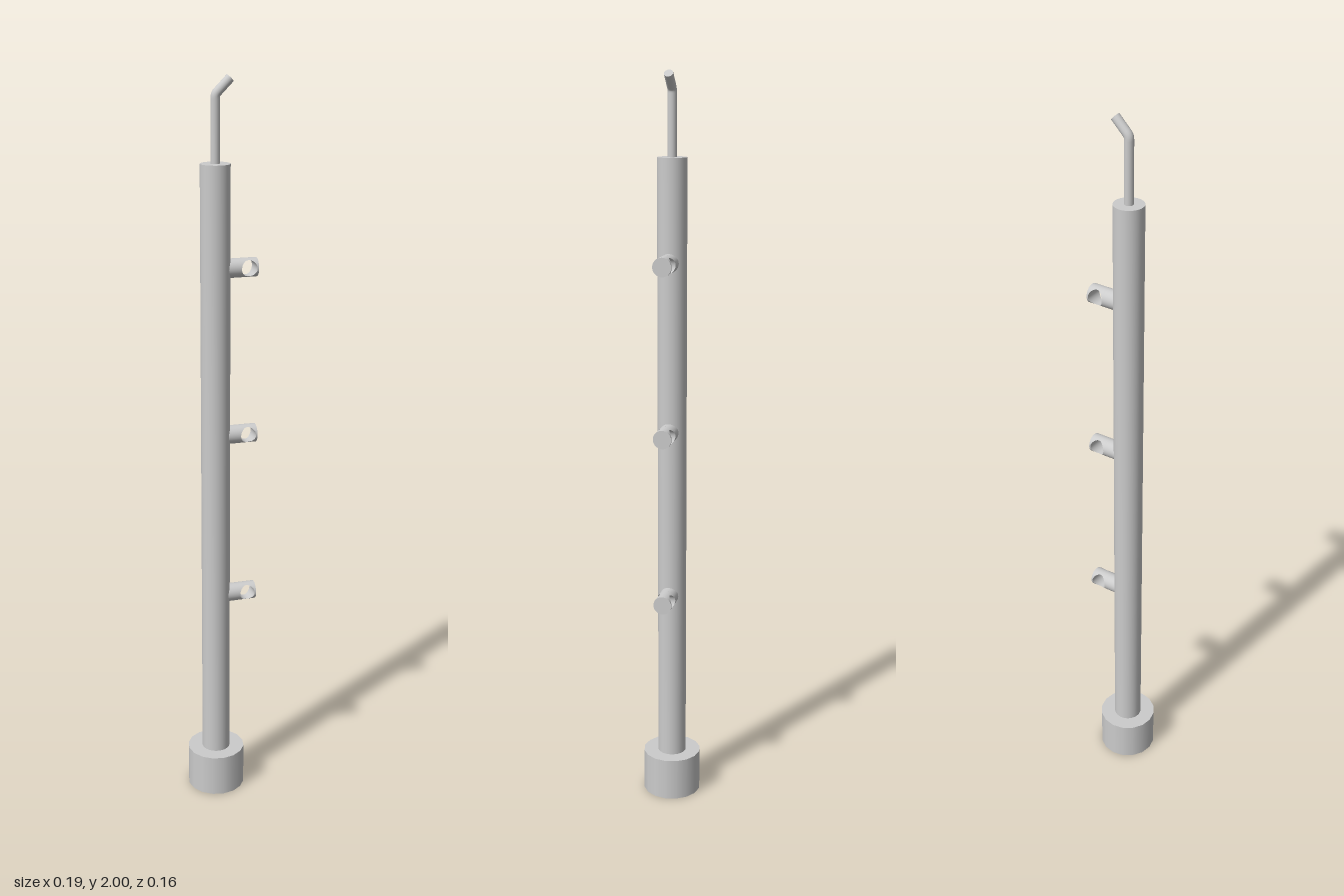
import * as THREE from 'three';
import { ParametricGeometry } from 'three/addons/geometries/ParametricGeometry.js';

const AXIS = -0.016;      // x of the post axis
const R = 0.025;          // holder radius
const HOLE = 0.021;       // radius of the cross hole
const HEAD_X = 0.069;     // x of the cross hole

const material = new THREE.MeshStandardMaterial({ color: 0xcccccc });

function add(parent, name, geometry, x = 0, y = 0, z = 0) {
  const mesh = new THREE.Mesh(geometry, material);
  mesh.name = name;
  mesh.position.set(x, y, z);
  parent.add(mesh);
  return mesh;
}

// One half of the holder's round skin, from the square outline in to the cross hole
function holderSkin(side) {
  const geometry = new ParametricGeometry((u, v, p) => {
    const t = side > 0 ? v : 1 - v;
    const c = Math.cos(u * Math.PI * 2), s = Math.sin(u * Math.PI * 2);
    const m = Math.max(Math.abs(c), Math.abs(s));
    const phi = THREE.MathUtils.lerp((s / m) * Math.PI / 2, Math.asin(HOLE * s / R), t);
    p.set(THREE.MathUtils.lerp(R * c / m, HOLE * c, t), R * Math.sin(phi), side * R * Math.cos(phi));
  }, 48, 6);
  const { position, normal } = geometry.attributes;
  for (let i = 0; i < position.count; i++) {
    normal.setXYZ(i, 0, position.getY(i) / R, position.getZ(i) / R);
  }
  return geometry;
}

// Wall of the cross hole, ending on the curved skin
function holeWall() {
  return new ParametricGeometry((u, v, p) => {
    const a = u * Math.PI * 2, y = HOLE * Math.sin(a);
    p.set(HOLE * Math.cos(a), y, Math.sqrt(R * R - y * y) * (1 - 2 * v));
  }, 48, 1);
}

function createHolder(y) {
  const holder = new THREE.Group();
  holder.name = 'railHolder';
  holder.position.y = y;
  const start = 0.005, end = HEAD_X - R;
  add(holder, 'holderStem', new THREE.CylinderGeometry(R, R, end - start, 32, 1, true).rotateZ(Math.PI / 2),
    (start + end) / 2);
  add(holder, 'holderFront', holderSkin(1), HEAD_X);
  add(holder, 'holderBack', holderSkin(-1), HEAD_X);
  add(holder, 'holderHole', holeWall(), HEAD_X);
  add(holder, 'holderEnd', new THREE.CircleGeometry(R, 32).rotateY(Math.PI / 2), HEAD_X + R);
  return holder;
}

export function createModel() {
  const model = new THREE.Group();
  model.name = 'railingPost';

  // Foot collar and post
  add(model, 'baseCollar', new THREE.CylinderGeometry(0.08, 0.08, 0.118, 16), AXIS, 0.059);
  add(model, 'post', new THREE.CylinderGeometry(0.039, 0.039, 1.675, 32), AXIS, 0.9475);

  // Bent rod on top
  const v = (x, y) => new THREE.Vector3(x, y, 0);
  const bend = v(AXIS, 1.953), tip = v(0.0225, 1.9915);
  const low = v(AXIS, 1.945), high = v(AXIS + 0.006, 1.959);
  const path = new THREE.CurvePath();
  path.add(new THREE.LineCurve3(v(AXIS, 1.77), low));
  path.add(new THREE.QuadraticBezierCurve3(low, bend, high));
  path.add(new THREE.LineCurve3(high, tip));
  add(model, 'topRod', new THREE.TubeGeometry(path, 48, 0.012, 16));
  const cap = add(model, 'rodEnd', new THREE.CircleGeometry(0.012, 16), tip.x, tip.y);
  cap.quaternion.setFromUnitVectors(new THREE.Vector3(0, 0, 1), tip.clone().sub(high).normalize());

  // Three pierced holders up the left side
  for (const y of [0.6, 1.066, 1.518]) model.add(createHolder(y));

  return model;
}
